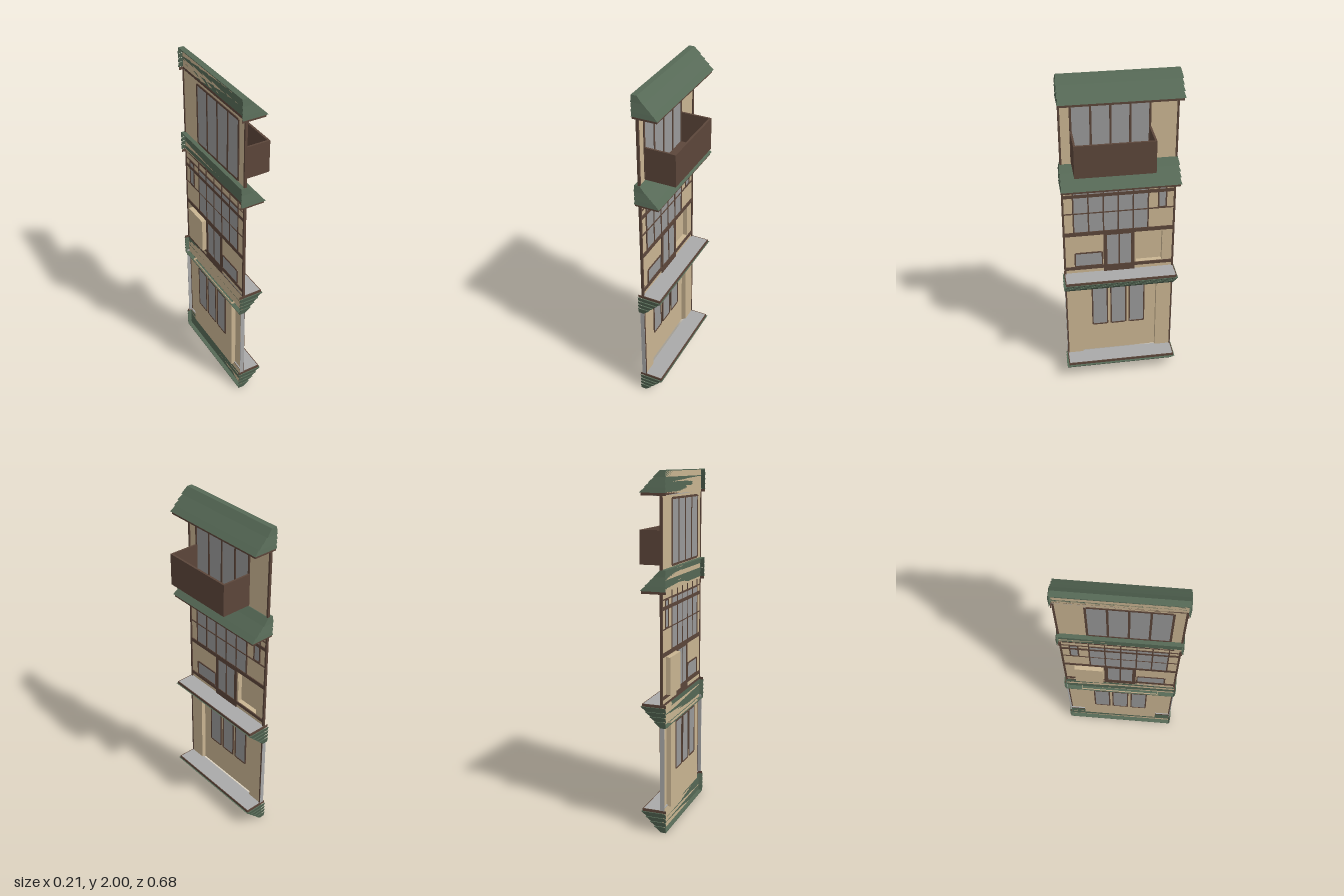
import * as THREE from 'three';

const mat = (color) => new THREE.MeshStandardMaterial({ color, flatShading: true });

export function createModel() {
  const root = new THREE.Group();
  const beige = mat(0xcab592), brown = mat(0x5c463a), green = mat(0x566956);
  const glass = mat(0x999999), grey = mat(0xaaaaaa);

  // box from its limits
  function box(name, m, x0, x1, y0, y1, z0, z1, parent = root) {
    const mesh = new THREE.Mesh(new THREE.BoxGeometry(x1 - x0, y1 - y0, Math.abs(z1 - z0)), m);
    mesh.position.set((x0 + x1) / 2, (y0 + y1) / 2, (z0 + z1) / 2);
    mesh.name = name;
    parent.add(mesh);
    return mesh;
  }

  // glazed window with a frame and evenly spaced bars, seen from both sides
  function window_(name, z0, z1, y0, y1, panes, x = -0.078, f = 0.008) {
    const g = new THREE.Group();
    g.name = name;
    box('glass', glass, x - 0.004, x + 0.004, y0, y1, z0, z1, g);
    for (let i = 0; i <= panes; i++) {
      const z = z0 + (z1 - z0) * i / panes;
      box('upright', brown, x - 0.006, x + 0.007, y0, y1, z - f / 2, z + f / 2, g);
    }
    for (const y of [y0, y1])
      box('rail', brown, x - 0.006, x + 0.007, y - f / 2, y + f / 2, z0 - f / 2, z1 + f / 2, g);
    root.add(g);
  }

  // one row of tiles: sloped section, flaring in z towards its lower edge
  function tileRow(xb, xt, xl, yt, yl, z0, z1, parent) {
    const s = new THREE.Shape();
    s.moveTo(xb, yl); s.lineTo(xl, yl); s.lineTo(xt, yt); s.lineTo(xb, yt);
    const geo = new THREE.ExtrudeGeometry(s, { depth: z1 - z0, bevelEnabled: false });
    geo.translate(0, 0, z0);
    const p = geo.attributes.position;
    for (let i = 0; i < p.count; i++)
      if (Math.abs(p.getY(i) - yl) < 1e-5) p.setZ(i, p.getZ(i) * 1.022);
    geo.computeVertexNormals();
    const mesh = new THREE.Mesh(geo, green);
    mesh.name = 'tileRow';
    parent.add(mesh);
  }

  // stepped roof, open at the back between its end caps
  function roof(name, y, flipped) {
    const g = new THREE.Group();
    g.name = name;
    const xs = [-0.072, -0.036, -0.01, 0.015, 0.042], ys = [0.115, 0.079, 0.053, 0.028, 0];
    for (let i = 0; i < 4; i++) {
      const xt = xs[i] - (i ? 0.004 : 0);
      tileRow(-0.08, xt, xs[i + 1], ys[i], ys[i + 1], -0.331, 0.331, g);
      tileRow(-0.104, xt, xs[i + 1], ys[i], ys[i + 1], 0.327, 0.331, g);
      tileRow(-0.104, xt, xs[i + 1], ys[i], ys[i + 1], -0.331, -0.327, g);
    }
    box('ridge', green, -0.104, -0.072, 0.111, 0.115, -0.331, 0.331, g);
    box('eavesTrim', brown, -0.08, 0.035, -0.015, 0, -0.331, 0.331, g);
    for (const s of [-1, 1]) box('trimEnd', brown, -0.104, -0.08, -0.015, 0, s * 0.327, s * 0.331, g);
    box('soffit', grey, -0.08, 0.03, -0.0155, -0.01, -0.326, 0.326, g);
    g.position.y = y;
    if (flipped) g.rotation.x = Math.PI;
    root.add(g);
  }
  roof('topRoof', 1.885, false);
  roof('middleRoof', 1.37, false);
  roof('lowerCornice', 0.73, true);
  roof('baseCornice', 0.115, true);

  // wall panels
  const wall = (y0, y1, z0, z1) => box('wall', beige, -0.08, -0.076, y0, y1, z0, z1);
  wall(1.0, 1.995, -0.328, 0.328);
  wall(0.62, 0.79, -0.328, 0.328);
  wall(0.79, 1.0, -0.1, 0.328);
  wall(0.79, 1.0, -0.328, -0.26);
  wall(0.005, 0.125, -0.328, 0.328);

  // niche set back into the middle storey
  box('nicheBack', beige, -0.107, -0.104, 0.79, 1.0, -0.26, -0.1);
  for (const z of [-0.26, -0.1]) box('nicheSide', beige, -0.107, -0.077, 0.79, 1.0, z - 0.0015, z + 0.0015);
  for (const y of [0.79, 1.0]) box('nicheEnd', beige, -0.107, -0.077, y - 0.0015, y + 0.0015, -0.26, -0.1);

  // ground storey: set-back wall between two piers
  box('groundWall', beige, -0.1, -0.097, 0.12, 0.63, -0.23, 0.23);
  for (const s of [-1, 1]) {
    box('pier', beige, -0.073, -0.07, 0.12, 0.63, s * 0.23, s * 0.328);
    box('pierReturn', beige, -0.1, -0.07, 0.12, 0.63, s * 0.23, s * 0.233);
    box('pierEnd', grey, -0.095, -0.07, 0.12, 0.63, s * 0.327, s * 0.33);
    box('pierEdge', brown, -0.074, -0.068, 0.13, 0.62, s * 0.32, s * 0.329);
  }
  for (const z of [0.117, 0.002, -0.112])
    window_('groundWindow', z + 0.046, z - 0.046, 0.325, 0.61, 1, -0.0985);

  // middle storey
  const X0 = -0.084, X1 = -0.07;
  for (const [y, h] of [[0.78, 0.02], [1.02, 0.024], [1.275, 0.02], [1.16, 0.006], [1.323, 0.006]]) {
    const beam = (a, b) => box('beam', brown, X0, X1, y - h / 2, y + h / 2, a, b);
    beam(-0.328, 0.328);
  }
  window_('middleWindow', 0.265, -0.17, 1.03, 1.32, 5);
  for (let i = 0; i <= 5; i++) {
    const z = 0.265 - 0.087 * i;
    box('upperStud', brown, X0, X1, 1.32, 1.36, z - 0.003, z + 0.003);
  }
  window_('smallWindow', -0.23, -0.275, 1.165, 1.318, 1);
  window_('lowWindow', 0.262, 0.1, 0.793, 0.885, 1);
  window_('door', 0.075, -0.075, 0.78, 1.005, 2);
  for (const s of [-1, 1]) box('doorPost', brown, X0, X1, 0.745, 1.01, s * 0.075, s * 0.092);
  box('doorSill', brown, X0, X1, 0.745, 0.78, -0.09, 0.09);

  // corner posts of both upper storeys
  for (const [y0, y1] of [[0.745, 1.355], [1.485, 1.87]])
    for (const s of [-1, 1]) box('cornerPost', brown, X0, X1, y0, y1, s * 0.318, s * 0.329);

  // top storey window and balcony
  window_('topWindow', 0.262, -0.17, 1.495, 1.852, 4, -0.078, 0.012);
  const balcony = new THREE.Group();
  balcony.name = 'balcony';
  root.add(balcony);
  box('floor', brown, -0.075, 0.105, 1.49, 1.5, -0.178, 0.266, balcony);
  box('frontPanel', brown, 0.093, 0.105, 1.5, 1.68, -0.178, 0.266, balcony);
  box('leftPanel', brown, -0.075, 0.093, 1.5, 1.68, 0.255, 0.266, balcony);
  box('rightPanel', brown, -0.075, 0.093, 1.5, 1.68, -0.178, -0.167, balcony);

  return root;
}
